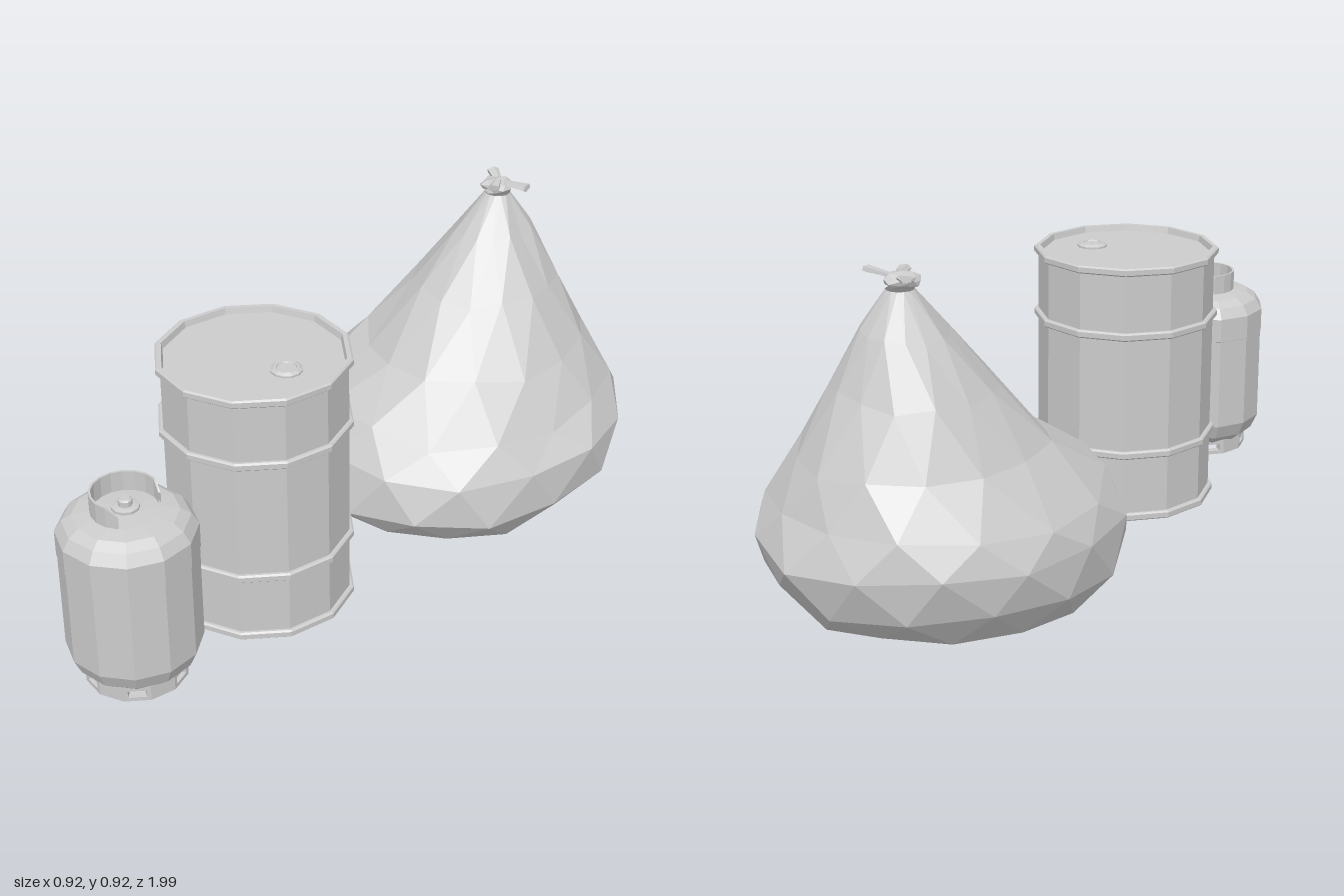
import * as THREE from 'three';

const material = new THREE.MeshStandardMaterial({ color: 0xcccccc, flatShading: true, side: THREE.DoubleSide });

function add(parent, name, geometry, x = 0, y = 0, z = 0) {
  const mesh = new THREE.Mesh(geometry, material);
  mesh.name = name;
  mesh.position.set(x, y, z);
  parent.add(mesh);
  return mesh;
}

function lathe(points, sides = 12, start = 0, length = Math.PI * 2) {
  return new THREE.LatheGeometry(points.map(([r, y]) => new THREE.Vector2(r, y)), sides, start, length);
}

function seeded(seed) {
  return () => {
    seed = (seed * 16807) % 2147483647;
    return seed / 2147483647;
  };
}

// Steel drum: ribbed shell, recessed lid and a filler cap
function createDrum() {
  const drum = new THREE.Group();
  drum.name = 'drum';
  drum.position.set(-0.052, 0, 0.35);
  const profile = [[0, 0.03], [0.255, 0.03]];
  for (const y of [0.03, 0.215, 0.56, 0.743]) {
    if (y > 0.1) profile.push([0.248, y], [0.255, y]);
    profile.push([0.26, y + 0.004], [0.26, y + 0.018], [0.255, y + 0.022]);
    if (y < 0.7) profile.push([0.248, y + 0.022]);
  }
  profile.push([0.243, 0.765], [0.239, 0.748], [0, 0.748]);
  add(drum, 'drumShell', lathe(profile));
  add(drum, 'fillerCap', lathe([[0.042, 0], [0.042, 0.005], [0.033, 0.011], [0.027, 0.011], [0.025, 0.007], [0, 0.007]]), 0.112, 0.748, 0);
  return drum;
}

// Gas bottle: domed tank, slotted foot ring, open collar and valve
function createGasBottle() {
  const bottle = new THREE.Group();
  bottle.name = 'gasBottle';
  bottle.position.set(-0.053, 0, 0.828);
  const tank = [[0, 0.062], [0.13, 0.068], [0.158, 0.092], [0.177, 0.134], [0.177, 0.404], [0.179, 0.405],
    [0.179, 0.475], [0.16, 0.505], [0.134, 0.522], [0.09, 0.529], [0, 0.535]];
  add(bottle, 'tank', lathe(tank, 12, Math.PI / 12));

  // Foot ring panels, every other one with a slot
  const R = 0.135, half = R * Math.sin(Math.PI / 12), apothem = R * Math.cos(Math.PI / 12), depth = 0.022;
  for (let i = 0; i < 12; i++) {
    const panel = new THREE.Shape([
      new THREE.Vector2(-half, 0.03), new THREE.Vector2(half, 0.03),
      new THREE.Vector2(half, 0.075), new THREE.Vector2(-half, 0.075)]);
    if (i % 2) {
      panel.holes.push(new THREE.Path([
        new THREE.Vector2(-0.024, 0.041), new THREE.Vector2(-0.024, 0.061),
        new THREE.Vector2(0.024, 0.061), new THREE.Vector2(0.024, 0.041)]));
    }
    const geometry = new THREE.ExtrudeGeometry(panel, { depth, bevelEnabled: false });
    // Narrow the inner side so that neighbours meet in a mitre
    const pos = geometry.attributes.position;
    for (let k = 0; k < pos.count; k++) {
      if (pos.getZ(k) < depth / 2) pos.setX(k, pos.getX(k) * (apothem - depth) / apothem);
    }
    geometry.translate(0, 0, apothem - depth);
    add(bottle, 'footPanel', geometry).rotation.y = (i + 0.5) * Math.PI / 6;
  }

  // Collar with its gap towards +x and lowered end corners
  const gap = THREE.MathUtils.degToRad(56);
  const collar = lathe([[0.083, 0.52], [0.089, 0.52], [0.089, 0.585], [0.083, 0.585], [0.083, 0.52]],
    12, Math.PI / 2 + gap, Math.PI * 2 - 2 * gap);
  const p = collar.attributes.position;
  for (let k = 0; k < p.count; k++) {
    if (p.getX(k) > 0.04 && p.getY(k) > 0.57) p.setY(k, 0.56);
  }
  add(bottle, 'collar', collar);
  add(bottle, 'valve', lathe([[0.036, 0.525], [0.036, 0.54], [0.024, 0.543], [0.018, 0.543], [0.018, 0.557], [0.013, 0.561], [0, 0.561]], 10));
  return bottle;
}

// Sack: faceted rings leaning back to a tied neck
function createSack() {
  const sack = new THREE.Group();
  sack.name = 'sack';
  // height, front z, back z, right x, left x
  const sections = [
    [0.0, -0.12, -0.82, -0.23, 0.24],
    [0.04, -0.03, -0.87, -0.38, 0.375],
    [0.13, 0.035, -0.955, -0.455, 0.46],
    [0.245, 0.015, -1.0, -0.465, 0.465],
    [0.335, -0.05, -0.965, -0.425, 0.415],
    [0.46, -0.21, -0.905, -0.325, 0.315],
    [0.62, -0.375, -0.82, -0.215, 0.205],
    [0.76, -0.51, -0.745, -0.115, 0.105],
    [0.87, -0.605, -0.677, -0.036, 0.036]];
  const n = 14, random = seeded(77), vertices = [], indices = [];
  sections.forEach(([y, front, back, right, left], j) => {
    const cz = (front + back) / 2, rz = (front - back) / 2;
    for (let i = 0; i < n; i++) {
      const a = (i + (j % 2) / 2) / n * Math.PI * 2;
      const k = 1.012 - random() * (j > 3 && j < 8 ? 0.08 : 0.035);
      const x = Math.sin(a) * (Math.sin(a) > 0 ? left : -right) * k;
      const z = cz + Math.cos(a) * rz * k;
      const lift = j === 0 ? Math.max(0, (-0.14 - z) * 0.035) : j < 8 ? (random() - 0.5) * 0.035 : 0;
      vertices.push(x, y + lift, z);
    }
  });
  for (let j = 0; j < sections.length - 1; j++) {
    for (let i = 0; i < n; i++) {
      const i2 = (i + 1) % n;
      const a = j * n + i, b = j * n + i2, c = (j + 1) * n + i2, d = (j + 1) * n + i;
      if (j % 2) indices.push(a, b, c, a, c, d);
      else indices.push(a, b, d, b, c, d);
    }
  }
  // Underside
  const bottom = vertices.length / 3;
  vertices.push(0, 0.01, -0.46);
  for (let i = 0; i < n; i++) indices.push(bottom, (i + 1) % n, i);
  const body = new THREE.BufferGeometry();
  body.setAttribute('position', new THREE.Float32BufferAttribute(vertices, 3));
  body.setIndex(indices);
  body.computeVertexNormals();
  add(sack, 'sackBody', body);

  // Crumpled knot: uneven squashed ball
  const knot = new THREE.IcosahedronGeometry(1, 1);
  const pos = knot.attributes.position;
  for (let k = 0; k < pos.count; k++) {
    const x = pos.getX(k), y = pos.getY(k), z = pos.getZ(k);
    const s = 0.9 + 0.16 * Math.sin(7 * x + 5 * z + 3 * y);
    pos.setXYZ(k, x * s * 0.05, y * s * 0.024, z * s * 0.05);
  }
  knot.computeVertexNormals();
  add(sack, 'knot', knot, -0.003, 0.89, -0.638);

  // Loose tails of the gathered top
  for (const [x, y, z, length, angle] of [[0.055, 0.903, -0.645, 0.085, 0], [-0.025, 0.903, -0.665, 0.06, 2.5], [0.015, 0.908, -0.61, 0.05, -1.2]]) {
    const tail = new THREE.CylinderGeometry(0.02, 0.012, length, 5);
    tail.rotateZ(-Math.PI / 2);
    tail.scale(1, 0.5, 0.9);
    add(sack, 'tail', tail, x, y, z).rotation.set(0.2, angle, 0.08);
  }
  return sack;
}

export function createModel() {
  const model = new THREE.Group();
  model.name = 'drumBottleAndSack';
  model.add(createDrum(), createGasBottle(), createSack());
  return model;
}
